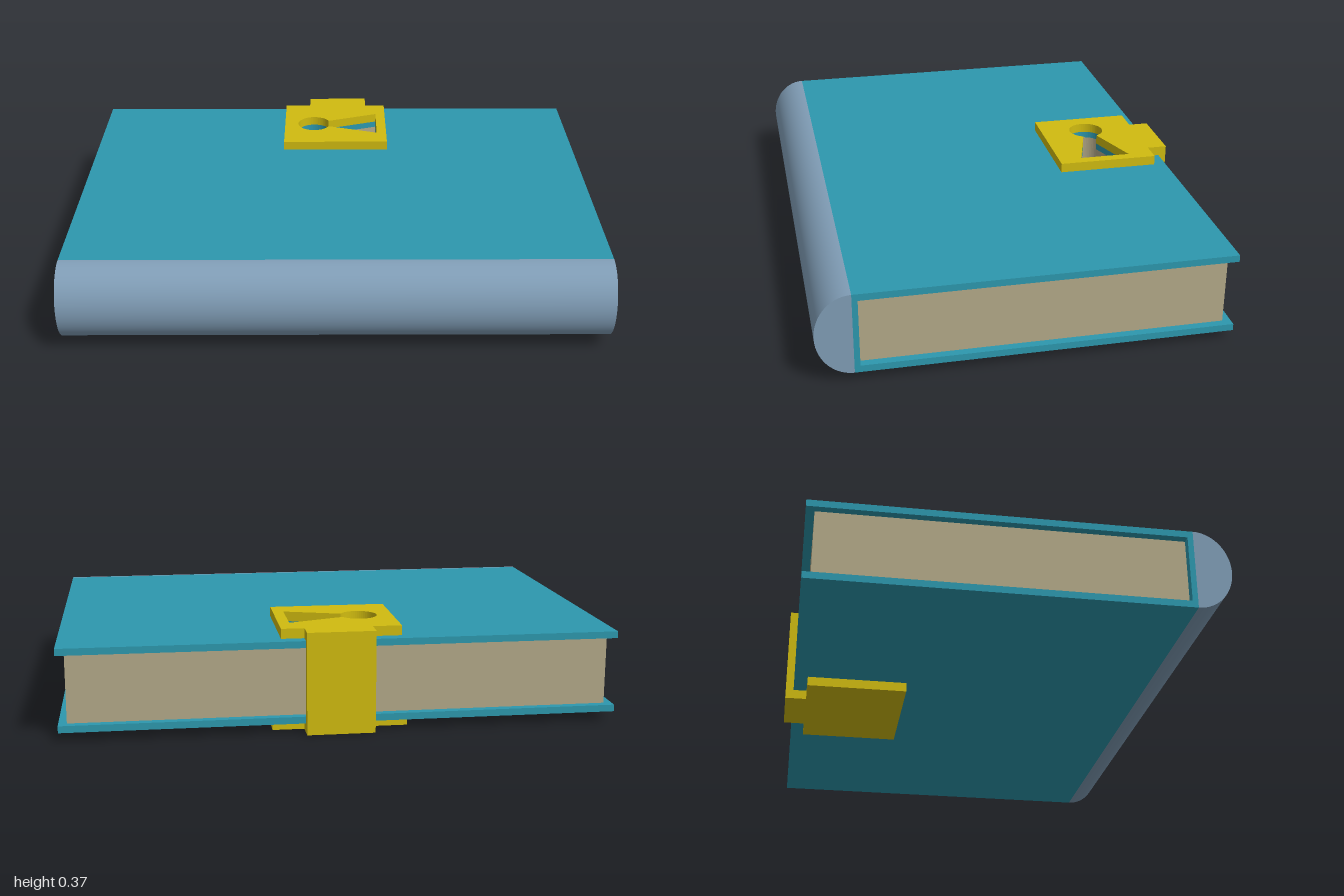
import * as THREE from 'three';

const mat = (name, color) => Object.assign(new THREE.MeshStandardMaterial({ color }), { name });

export function createModel() {
  const book = new THREE.Group();
  book.name = 'claspedBook';
  const teal = mat('teal cover', 0x2d98ae);
  const paper = mat('paper', 0xb3a988);
  const gold = mat('gold clasp', 0xd0bb10);
  const slate = mat('slate spine', 0x809db6);

  const add = (name, geometry, material) => {
    const mesh = new THREE.Mesh(geometry, material);
    mesh.name = name;
    book.add(mesh);
  };
  const box = (name, m, x0, x1, y0, y1, z0, z1) => {
    const g = new THREE.BoxGeometry(x1 - x0, y1 - y0, z1 - z0);
    add(name, g.translate((x0 + x1) / 2, (y0 + y1) / 2, (z0 + z1) / 2), m);
  };

  // Keyhole outline (plan view, shape y = -z)
  const keyhole = () => {
    const p = new THREE.Path();
    p.absarc(-0.09, 0.48, 0.068, 0.42, Math.PI * 2 - 0.42, false);
    p.lineTo(0.178, 0.385);
    p.lineTo(0.178, 0.58);
    p.closePath();
    return p;
  };
  // Flat slab from plan points [x, z], between heights y0 and y1
  const slab = (name, m, points, y0, y1, pierced) => {
    const s = new THREE.Shape(points.map(([x, z]) => new THREE.Vector2(x, -z)));
    if (pierced) s.holes.push(keyhole());
    const g = new THREE.ExtrudeGeometry(s, { depth: y1 - y0, bevelEnabled: false, curveSegments: 24 });
    add(name, g.rotateX(-Math.PI / 2).translate(0, y0, 0), m);
  };
  const rect = (x, z0, z1) => [[-x, z1], [x, z1], [x, z0], [-x, z0]];

  // Covers and pages; the keyhole runs down to the lower clasp plate
  slab('topCover', teal, rect(1, -0.72, 0.62), 0.31, 0.335, true);
  slab('bottomCover', teal, rect(1, -0.72, 0.62), 0.035, 0.06, true);
  slab('pages', paper, rect(0.97, -0.69, 0.6), 0.06, 0.31, true);
  box('spineBoard', teal, -1, 1, 0.06, 0.31, 0.6, 0.62);

  // Rounded spine: half ellipse swept along x
  const half = new THREE.Shape();
  half.absellipse(0, 0, 0.13, 0.15, -Math.PI / 2, Math.PI / 2, false);
  half.closePath();
  const spine = new THREE.ExtrudeGeometry(half, { depth: 2, bevelEnabled: false, curveSegments: 32 });
  // Smooth the curved side, leaving the flat inner face and caps sharp
  const pos = spine.attributes.position, nor = spine.attributes.normal;
  for (let i = 0; i < pos.count; i++) {
    if (Math.abs(nor.getZ(i)) > 0.5 || nor.getX(i) < -0.5) continue;
    const n = new THREE.Vector3(pos.getX(i) / 0.0169, pos.getY(i) / 0.0225, 0).normalize();
    nor.setXYZ(i, n.x, n.y, 0);
  }
  add('spine', spine.rotateY(-Math.PI / 2).translate(1, 0.185, 0.62), slate);

  // Clasp: pierced top plate, back strap, solid lower plate
  const plate = (w0, w1, zBack) => [
    [w0, -0.295], [w1, -0.295], [w1, zBack], [0.135, zBack],
    [0.135, -0.72], [-0.11, -0.72], [-0.11, zBack], [w0, zBack],
  ];
  slab('claspTopPlate', gold, plate(-0.215, 0.218, -0.675), 0.335, 0.371, true);
  slab('claspBottomPlate', gold, plate(-0.24, 0.25, -0.67), 0, 0.035, false);
  box('claspStrap', gold, -0.11, 0.135, 0, 0.371, -0.75, -0.72);

  return book;
}
